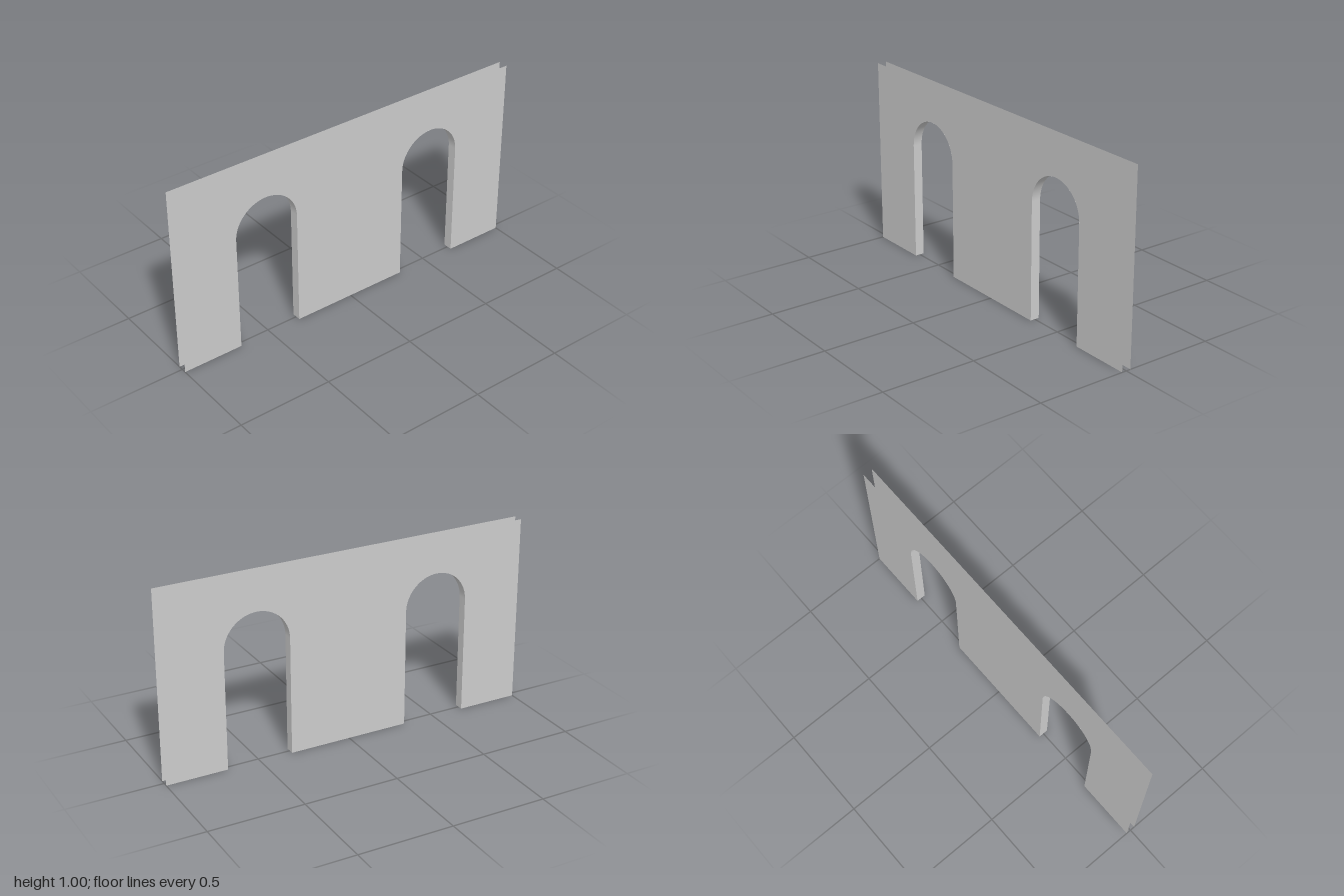
import * as THREE from 'three';

const HALF_WIDTH = 1, HEIGHT = 1, HALF_DEPTH = 0.025;
const RADIUS = 0.175, SPRING = 0.625, SEGMENTS = 32;
const ARCH_CENTRES = [-0.5, 0.5];

const material = new THREE.MeshStandardMaterial({ color: 0xcccccc, side: THREE.DoubleSide });

// Wall outline, notched from the ground by the two archways
function wallShape() {
  const shape = new THREE.Shape();
  shape.moveTo(-HALF_WIDTH, 0);
  for (const cx of ARCH_CENTRES) {
    shape.lineTo(cx - RADIUS, 0);
    shape.lineTo(cx - RADIUS, SPRING);
    shape.absarc(cx, SPRING, RADIUS, Math.PI, 0, true);
    shape.lineTo(cx + RADIUS, 0);
  }
  shape.lineTo(HALF_WIDTH, 0);
  shape.lineTo(HALF_WIDTH, HEIGHT);
  shape.lineTo(-HALF_WIDTH, HEIGHT);
  shape.closePath();
  return shape;
}

// Inner lining of one archway: jamb, half-round vault, jamb
function revealGeometry() {
  const path = [[RADIUS, 0]];
  for (let i = 0; i <= SEGMENTS; i++) {
    const a = (Math.PI * i) / SEGMENTS;
    path.push([RADIUS * Math.cos(a), SPRING + RADIUS * Math.sin(a)]);
  }
  path.push([-RADIUS, 0]);

  const positions = [], indices = [];
  path.forEach(([x, y], i) => {
    positions.push(x, y, HALF_DEPTH, x, y, -HALF_DEPTH);
    if (i === 0) return;
    const a = 2 * (i - 1);
    indices.push(a, a + 2, a + 1, a + 1, a + 2, a + 3);
  });
  const geometry = new THREE.BufferGeometry();
  geometry.setAttribute('position', new THREE.Float32BufferAttribute(positions, 3));
  geometry.setIndex(indices);
  geometry.computeVertexNormals();
  return geometry;
}

export function createModel() {
  const model = new THREE.Group();
  model.name = 'archedWall';

  // Two thin faces, open along the top, sides and bottom
  const faceGeometry = new THREE.ShapeGeometry(wallShape(), SEGMENTS);
  const front = new THREE.Mesh(faceGeometry, material);
  front.name = 'frontFace';
  front.position.z = HALF_DEPTH;
  const back = new THREE.Mesh(faceGeometry, material);
  back.name = 'backFace';
  back.rotation.y = Math.PI;
  back.position.z = -HALF_DEPTH;
  model.add(front, back);

  // Archway linings joining the faces
  const lining = revealGeometry();
  for (const cx of ARCH_CENTRES) {
    const reveal = new THREE.Mesh(lining, material);
    reveal.name = cx > 0 ? 'leftArchReveal' : 'rightArchReveal';
    reveal.position.x = cx;
    model.add(reveal);
  }
  return model;
}
